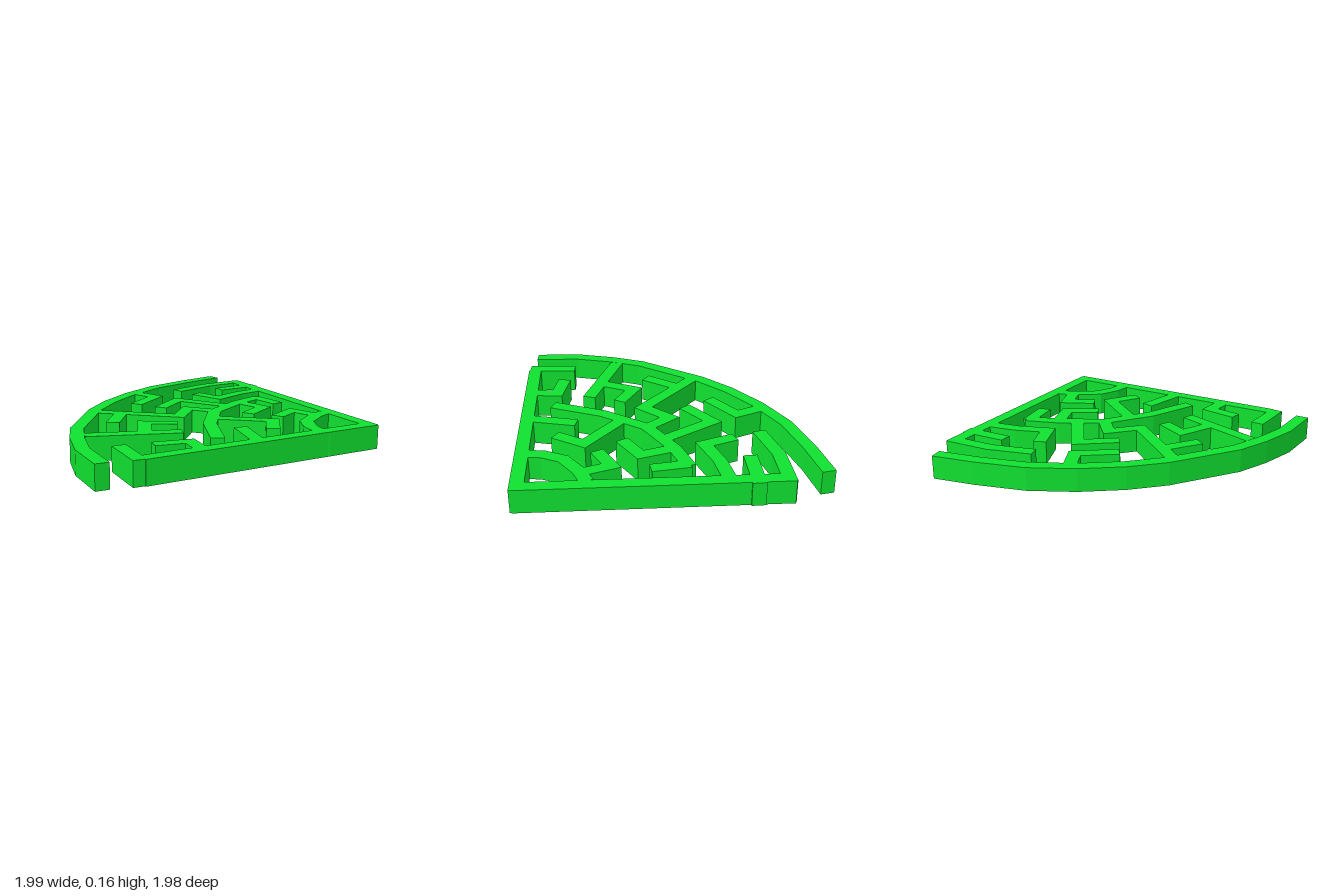
import * as THREE from 'three';

const WIDTH = 0.09;
const HEIGHT = 0.16;

// Wall centre lines on the ground, as [x, z] corners
const WALLS = {
  outerArc: [[-0.955, 0.93], [-0.94, 0.61], [-0.87, 0.35], [-0.78, 0.13], [-0.475, -0.295],
    [-0.28, -0.485], [-0.03, -0.665], [0.255, -0.81], [0.59, -0.9], [0.885, -0.955]],
  sideWall: [[0.935, -0.74], [0.935, 0.97]],
  frontWall: [[-0.71, 0.935], [0.975, 0.935]],
  // walls growing from the front wall
  frontEndStub: [[-0.72, 0.635], [-0.74, 0.97]],
  frontHook: [[-0.525, 0.705], [-0.3, 0.75], [-0.32, 0.93]],
  frontStub: [[0.157, 0.6], [0.08, 0.91]],
  cornerArc: [[0.54, 0.975], [0.567, 0.797], [0.63, 0.67], [0.783, 0.567], [0.9, 0.52]],
  cornerHook: [[0.79, 0.54], [0.73, 0.37], [0.543, 0.46]],
  // walls growing from the side wall
  sideEndArc: [[0.35, -0.607], [0.655, -0.687], [0.975, -0.7]],
  sideStub: [[0.66, -0.503], [0.99, -0.513]],
  sideHook: [[0.42, -0.44], [0.5, -0.23], [0.71, -0.305], [0.9, -0.337]],
  // middle arc and its branches
  middleArc: [[-0.115, 0.77], [0.035, 0.42], [0.245, 0.13], [0.54, -0.035], [0.765, -0.11]],
  middleEndStub: [[0.74, -0.12], [0.775, 0.13]],
  middleInnerHook: [[0.545, -0.02], [0.61, 0.185], [0.41, 0.3]],
  middleOuterHook: [[0.4, 0], [0.195, -0.315], [-0.035, -0.145]],
  middleFrontHook: [[0.155, 0.31], [0.445, 0.545], [0.32, 0.735]],
  // walls growing from the outer arc
  radialWall: [[-0.475, -0.23], [-0.04, 0.14], [0.12, -0.03], [0.245, 0.12]],
  radialStub: [[-0.37, -0.1], [-0.52, 0.105]],
  lowerRadialWall: [[-0.805, 0.315], [-0.225, 0.52]],
  lowerRadialHook: [[-0.435, 0.41], [-0.335, 0.2], [-0.145, 0.305]],
  outerHook: [[0.01, -0.7], [0.1, -0.495], [-0.14, -0.325]],
};

// Offsets a centre line to both sides with mitred corners and extrudes it upwards
function wallGeometry(line) {
  const points = line.map(([x, z]) => new THREE.Vector2(x, -z));
  const normals = points.slice(1).map((p, i) => {
    const d = p.clone().sub(points[i]).normalize();
    return new THREE.Vector2(-d.y, d.x);
  });
  const left = [];
  const right = [];
  points.forEach((p, i) => {
    const a = normals[Math.max(i - 1, 0)];
    const b = normals[Math.min(i, normals.length - 1)];
    const mitre = a.clone().add(b).multiplyScalar(WIDTH / 2 / (1 + a.dot(b)));
    left.push(p.clone().add(mitre));
    right.unshift(p.clone().sub(mitre));
  });
  const shape = new THREE.Shape([...left, ...right]);
  return new THREE.ExtrudeGeometry(shape, { depth: HEIGHT, bevelEnabled: false })
    .rotateX(-Math.PI / 2);
}

export function createModel() {
  const group = new THREE.Group();
  group.name = 'quarterMaze';
  const green = new THREE.MeshStandardMaterial({ color: 0x10e030 });
  for (const [name, line] of Object.entries(WALLS)) {
    const wall = new THREE.Mesh(wallGeometry(line), green);
    wall.name = name;
    group.add(wall);
  }
  return group;
}
